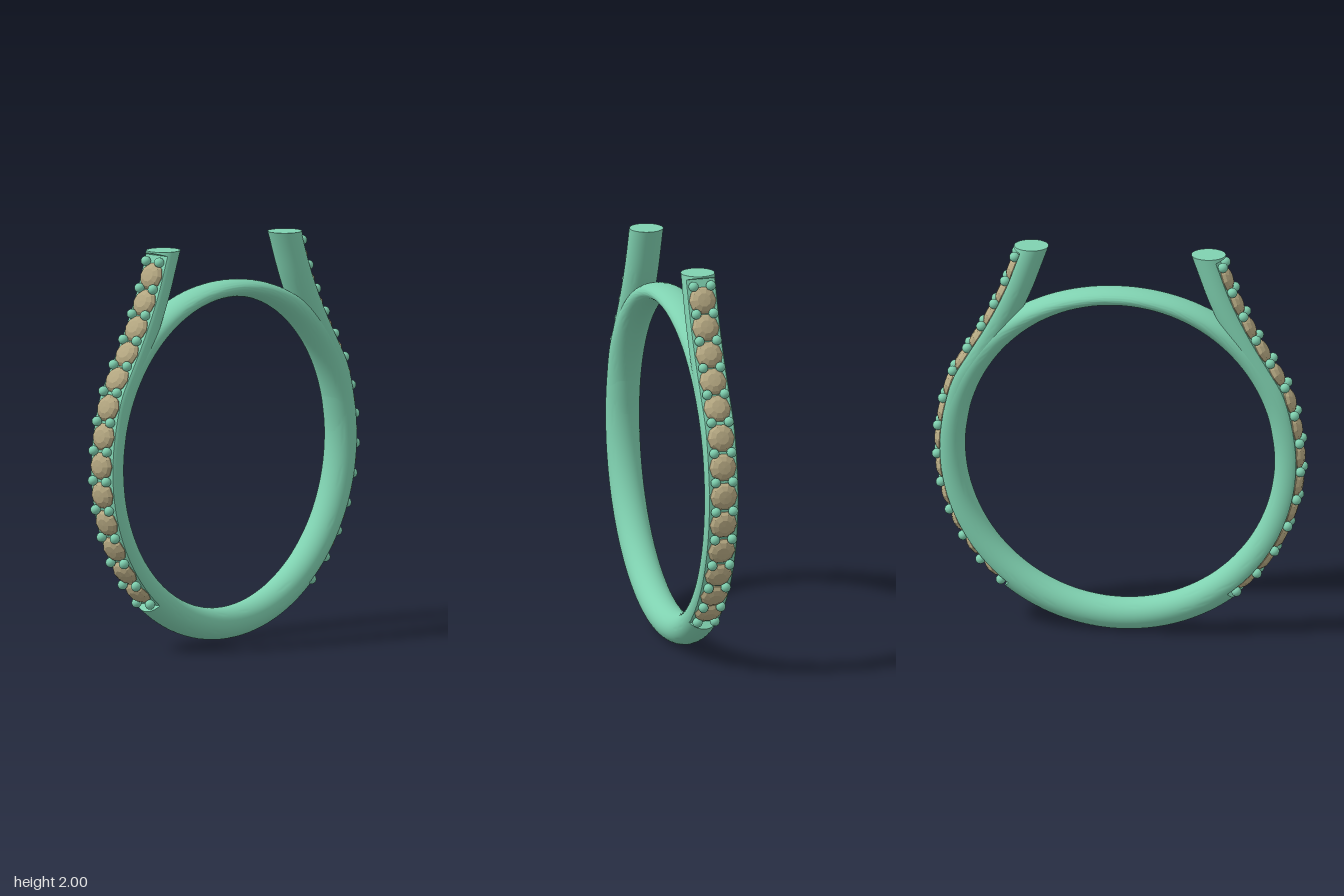
import * as THREE from 'three';
import { toCreasedNormals } from 'three/addons/utils/BufferGeometryUtils.js';

const metal = new THREE.MeshStandardMaterial({ color: 0x7fd1b0 });
const stone = new THREE.MeshStandardMaterial({ color: 0xb5a882, flatShading: true });

const CY = 0.937;      // centre height of the finger hole
const INNER = 0.778;   // finger hole radius
const MID = 0.857;     // radius of the shank centre line
const HALF = 0.085;    // half width in z
const FLOOR = 0.038;   // height of the stone seat above the centre line
const SIDES = 48;
const rad = THREE.MathUtils.degToRad;

// Sweeps an ellipse through stations {p, t, h, w, floor}; floor cuts the outer side flat
function sweep(stations, capped, topY) {
  const pos = [], idx = [];
  stations.forEach(({ p, t, h, w, floor }, i) => {
    for (let j = 0; j < SIDES; j++) {
      const a = (j / SIDES) * Math.PI * 2;
      const n = Math.min(Math.cos(a) * h, floor);
      let x = p.x + t.y * n, y = p.y - t.x * n;
      if (topY && i === stations.length - 1) { // level cut at the end
        x += ((topY - y) / t.y) * t.x;
        y = topY;
      }
      pos.push(x, y, Math.sin(a) * w);
    }
  });
  const last = stations.length - 1;
  for (let i = 0; i < last; i++) {
    for (let j = 0; j < SIDES; j++) {
      const k = (j + 1) % SIDES;
      const a = i * SIDES + j, b = a + SIDES, c = i * SIDES + k, d = c + SIDES;
      idx.push(a, b, c, b, d, c);
    }
  }
  if (capped) {
    for (let j = 1; j < SIDES - 1; j++) {
      idx.push(0, j, j + 1);
      const e = last * SIDES;
      idx.push(e, e + j + 1, e + j);
    }
  }
  const g = new THREE.BufferGeometry();
  g.setAttribute('position', new THREE.Float32BufferAttribute(pos, 3));
  g.setIndex(idx);
  return toCreasedNormals(g, 0.5);
}

// Finger band: thick below, thin across the top, cut flat under the stones
function bandGeometry() {
  const stations = [];
  const spans = [[-90, -52, 0], [-52, 50, 1], [50, 130, 0], [130, 232, 1], [232, 270, 0]];
  for (const [from, to, cut] of spans) {
    const n = Math.ceil((to - from) / 3);
    for (let i = 0; i <= n; i++) {
      const a = rad(from + ((to - from) * i) / n);
      const lift = THREE.MathUtils.radToDeg(Math.asin(Math.sin(a)));
      const h = THREE.MathUtils.lerp(0.0795, 0.0425, THREE.MathUtils.smoothstep(lift, 10, 90));
      const r = INNER + h;
      stations.push({
        p: new THREE.Vector2(Math.cos(a) * r, CY + Math.sin(a) * r),
        t: new THREE.Vector2(-Math.sin(a), Math.cos(a)),
        h, w: HALF, floor: cut ? MID + FLOOR - r : 1,
      });
    }
  }
  return sweep(stations, false);
}

// Centre line of one side: follows the band, then leaves it upward
function sidePath() {
  const pts = [];
  for (let a = -50; a <= 15; a += 10) {
    pts.push(new THREE.Vector3(Math.cos(rad(a)) * MID, CY + Math.sin(rad(a)) * MID, 0));
  }
  for (const [x, y] of [[0.796, 1.277], [0.724, 1.405], [0.648, 1.532], [0.58, 1.66],
    [0.52, 1.793], [0.47, 1.93], [0.445, 2]]) {
    pts.push(new THREE.Vector3(x, y, 0));
  }
  const curve = new THREE.CatmullRomCurve3(pts);
  curve.arcLengthDivisions = 600;
  return curve;
}

function armGeometry(path) {
  const len = path.getLength();
  const start = 0.67 / len, step = 1 - 0.036 / len;
  const stations = [];
  const add = (u, cut) => {
    const fade = 0.96 + 0.04 * THREE.MathUtils.smoothstep(u, start, start + 0.12);
    stations.push({
      p: path.getPointAt(u), t: path.getTangentAt(u),
      h: 0.081 * fade, w: 0.0845 * fade, floor: cut ? FLOOR : 1,
    });
  };
  for (let i = 0; i <= 40; i++) add(start + ((step - start) * i) / 40, true);
  add(step, false);
  add(1, false);
  return sweep(stations, true, 2);
}

// One side: arm, faceted stones and pairs of holding beads
function createSide(path) {
  const side = new THREE.Group();
  const arm = new THREE.Mesh(armGeometry(path), metal);
  arm.name = 'arm';
  side.add(arm);

  const profile = [[0.068, -0.02], [0.07, 0.004], [0.058, 0.021], [0.034, 0.033], [0, 0.035]]
    .map(([x, y]) => new THREE.Vector2(x, y));
  const gemGeo = new THREE.LatheGeometry(profile, 10).toNonIndexed();
  gemGeo.computeVertexNormals();
  const beadGeo = new THREE.SphereGeometry(0.025, 16, 12);

  const ROWS = 14;
  const uTop = 1 - 0.074 / path.getLength();
  const place = (mesh, u, lift, z) => {
    const p = path.getPointAt(u), t = path.getTangentAt(u);
    mesh.position.set(p.x + t.y * lift, p.y - t.x * lift, z);
    mesh.rotation.z = Math.atan2(t.y, t.x) - Math.PI; // local up points outward
    mesh.quaternion.setFromUnitVectors(new THREE.Vector3(0, 1, 0), new THREE.Vector3(t.y, -t.x, 0));
    side.add(mesh);
  };
  for (let i = 0; i < ROWS; i++) {
    const u = (i / (ROWS - 1)) * uTop;
    for (const s of [-1, 1]) {
      const bead = new THREE.Mesh(beadGeo, metal);
      bead.name = 'bead';
      place(bead, u, 0.058, s * 0.045);
    }
    if (i < ROWS - 1) {
      const gem = new THREE.Mesh(gemGeo, stone);
      gem.name = 'stone';
      place(gem, u + uTop / (ROWS - 1) / 2, FLOOR, 0);
    }
  }
  return side;
}

export function createModel() {
  const model = new THREE.Group();
  model.name = 'ring';
  const band = new THREE.Mesh(bandGeometry(), metal);
  band.name = 'band';
  model.add(band);

  const path = sidePath();
  const left = createSide(path);
  left.name = 'leftSide';
  const right = createSide(path);
  right.name = 'rightSide';
  right.rotation.y = Math.PI;
  model.add(left, right);
  return model;
}
